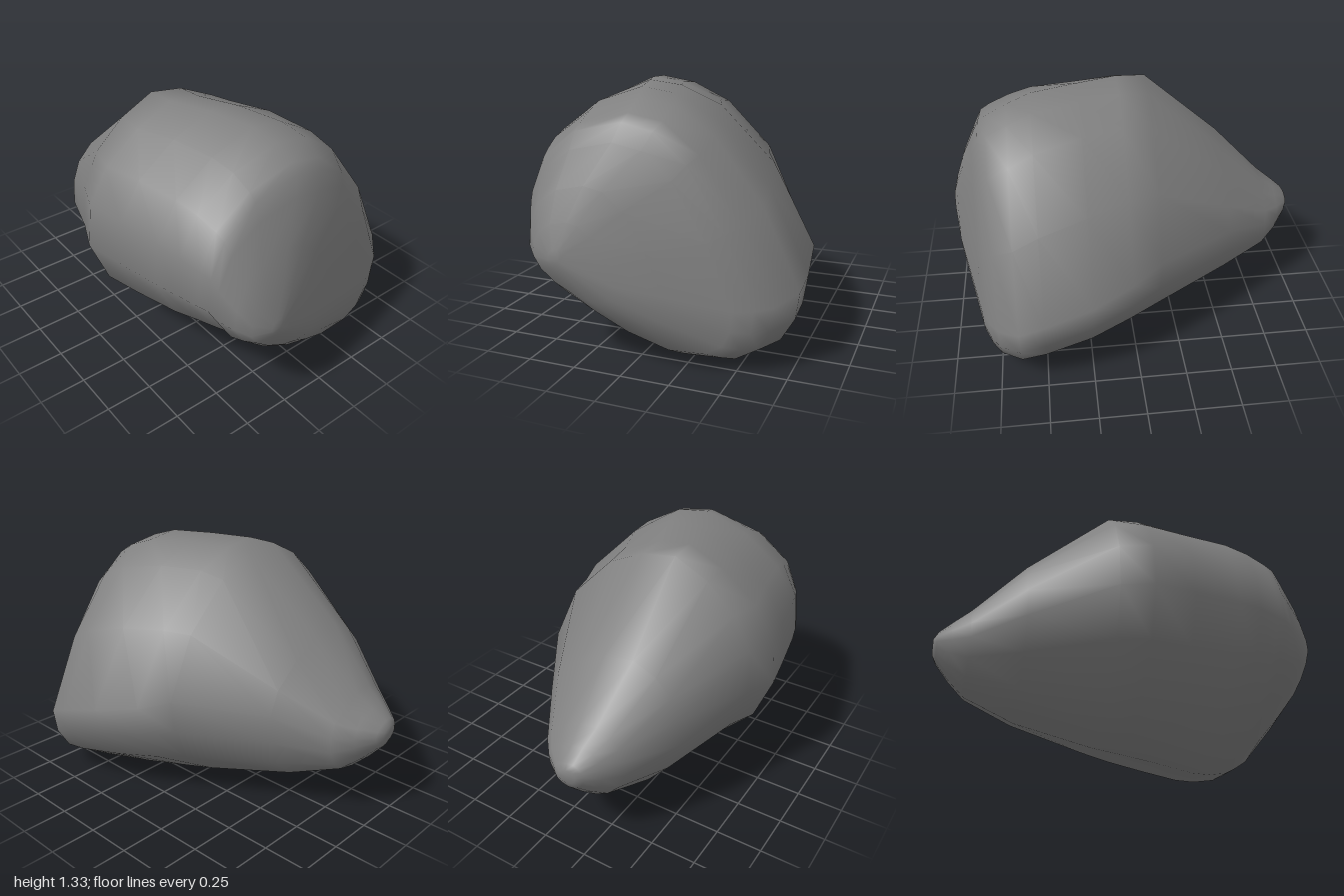
import * as THREE from 'three';

// Unit outlines [z, y] seen end-on, running top, back, bottom, front
const TIP = [
  [0.66, 1], [0.45, 0.96], [0.25, 0.86], [0.07, 0.71], [0, 0.55], [0.02, 0.36], [0.08, 0.19], [0.22, 0.06],
  [0.45, 0], [0.62, 0.03], [0.77, 0.12], [0.92, 0.29], [1, 0.5], [0.985, 0.68], [0.93, 0.82], [0.82, 0.93],
];
const MIDDLE = [
  [0.62, 1], [0.5, 0.985], [0.35, 0.92], [0.15, 0.71], [0, 0.4], [0.02, 0.28], [0.085, 0.16], [0.25, 0.045],
  [0.5, 0], [0.63, 0.035], [0.78, 0.135], [0.93, 0.3], [1, 0.49], [0.98, 0.67], [0.9, 0.815], [0.76, 0.93],
];
const BUTT = [
  [0.56, 1], [0.42, 0.97], [0.28, 0.84], [0.12, 0.56], [0, 0.24], [0.01, 0.14], [0.05, 0.06], [0.13, 0.01],
  [0.3, 0], [0.5, 0.06], [0.73, 0.19], [0.91, 0.35], [1, 0.51], [0.985, 0.67], [0.92, 0.83], [0.77, 0.95],
];

// Sections along the stone: [x, yMin, yMax, zMin, zMax, blend (0 tip, 1 middle, 2 butt)]
const SECTIONS = [
  [-1, 0.44, 0.52, 0.12, 0.22, 0],
  [-0.98, 0.4, 0.55, 0.08, 0.26, 0],
  [-0.91, 0.32, 0.61, -0.01, 0.32, 0],
  [-0.82, 0.235, 0.68, -0.09, 0.39, 0],
  [-0.56, 0.125, 0.94, -0.26, 0.545, 0],
  [-0.13, 0.035, 1.32, -0.55, 0.71, 0.65],
  [0.03, 0.01, 1.325, -0.64, 0.775, 0.9],
  [0.25, 0.005, 1.33, -0.75, 0.735, 1.1],
  [0.5, 0, 1.32, -0.78, 0.685, 1.4],
  [0.63, 0.02, 1.28, -0.77, 0.65, 1.65],
  [0.74, 0.04, 1.22, -0.67, 0.61, 1.9],
  [0.79, 0.065, 1.18, -0.59, 0.59, 2],
  [0.83, 0.09, 1.09, -0.5, 0.575, 2],
  [0.91, 0.23, 0.89, -0.18, 0.525, 2],
  [0.965, 0.34, 0.72, 0.04, 0.47, 2],
  [1, 0.48, 0.59, 0.25, 0.37, 2],
];

const { lerp, mapLinear } = THREE.MathUtils;

// Mix two neighbouring outlines, then fit the result to the section's extent
function sectionPoints([x, y0, y1, z0, z1, blend]) {
  const [from, to, t] = blend < 1 ? [TIP, MIDDLE, blend] : [MIDDLE, BUTT, blend - 1];
  const mixed = from.map(([z, y], j) => new THREE.Vector2(lerp(z, to[j][0], t), lerp(y, to[j][1], t)));
  const { min, max } = new THREE.Box2().setFromPoints(mixed);
  return mixed.flatMap((p) => [x, mapLinear(p.y, min.y, max.y, y0, y1), mapLinear(p.x, min.x, max.x, z0, z1)]);
}

function loftGeometry() {
  const n = TIP.length;
  const positions = SECTIONS.flatMap(sectionPoints);
  const index = [];

  // Skin between neighbouring sections
  for (let i = 0; i < SECTIONS.length - 1; i++) {
    for (let j = 0; j < n; j++) {
      const k = (j + 1) % n;
      const a = i * n + j, b = i * n + k, c = a + n, d = b + n;
      index.push(a, c, b, b, c, d);
    }
  }

  // Close both ends with a fan
  const addCap = (row, flip) => {
    const [x, y0, y1, z0, z1] = SECTIONS[row];
    const centre = positions.length / 3;
    positions.push(x, (y0 + y1) / 2, (z0 + z1) / 2);
    for (let j = 0; j < n; j++) {
      const a = row * n + j, b = row * n + (j + 1) % n;
      index.push(centre, flip ? b : a, flip ? a : b);
    }
  };
  addCap(0, false);
  addCap(SECTIONS.length - 1, true);

  const geometry = new THREE.BufferGeometry();
  geometry.setAttribute('position', new THREE.Float32BufferAttribute(positions, 3));
  geometry.setIndex(index);
  geometry.computeVertexNormals();
  return geometry;
}

export function createModel() {
  const group = new THREE.Group();
  group.name = 'rock';
  const boulder = new THREE.Mesh(loftGeometry(), new THREE.MeshStandardMaterial({ color: 0x808080 }));
  boulder.name = 'boulder';
  group.add(boulder);
  return group;
}
